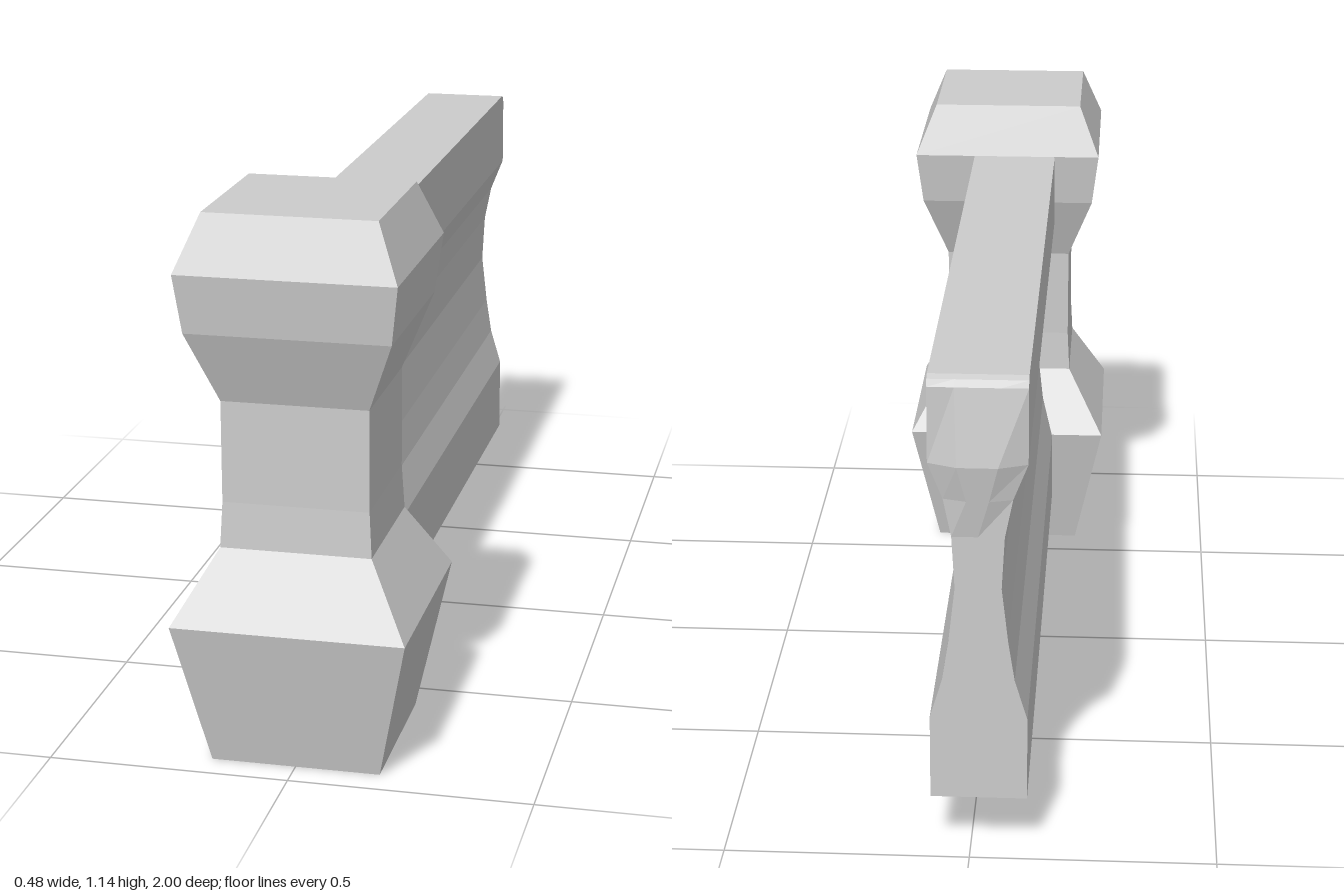
import * as THREE from 'three';

const material = new THREE.MeshStandardMaterial({ color: 0xcccccc, flatShading: true });

// Closed solid from stacked rings of [x, z] points, counter-clockwise from above
function loft(name, rings) {
  const pos = [];
  const n = rings[0].points.length;
  const put = (r, i) => {
    const [x, z] = rings[r].points[i % n];
    pos.push(x, rings[r].y, z);
  };
  const tri = (...corners) => corners.forEach(([r, i]) => put(r, i));
  const last = rings.length - 1;
  for (let r = 0; r < last; r++) {
    for (let i = 0; i < n; i++) {
      tri([r, i], [r, i + 1], [r + 1, i + 1]);
      tri([r, i], [r + 1, i + 1], [r + 1, i]);
    }
  }
  for (let i = 1; i < n - 1; i++) {
    tri([last, 0], [last, i], [last, i + 1]);
    tri([0, 0], [0, i + 1], [0, i]);
  }
  const geometry = new THREE.BufferGeometry();
  geometry.setAttribute('position', new THREE.Float32BufferAttribute(pos, 3));
  geometry.computeVertexNormals();
  const mesh = new THREE.Mesh(geometry, material);
  mesh.name = name;
  return mesh;
}

// Square post: [height, half width]
function createPost() {
  const profile = [
    [0, 0.175], [0.308, 0.24], [0.455, 0.155], [0.55, 0.15],
    [0.76, 0.15], [0.91, 0.207], [1.03, 0.222], [1.145, 0.175],
  ];
  const z = 0.76;
  return loft('post', profile.map(([y, h]) => ({
    y, points: [[h, z + h], [h, z - h], [-h, z - h], [-h, z + h]],
  })));
}

// Waisted rail: [height, half width, end z, bulge half width, bulge z]
function createRail() {
  const profile = [
    [0.125, 0.0975, -0.975, 0, -0.975],
    [0.305, 0.0975, -0.975, 0, -0.975],
    [0.39, 0.072, -0.975, 0, -0.975],
    [0.475, 0.059, -0.975, 0, -0.975],
    [0.59, 0.046, -0.975, 0, -0.975],
    [0.70, 0.052, -0.975, 0, -0.975],
    [0.78, 0.068, -0.975, 0.022, -0.988],
    [0.855, 0.0975, -0.977, 0.04, -1],
    [1.01, 0.0975, -0.975, 0.045, -0.976],
    [1.024, 0.0975, -0.969, 0.045, -0.969],
    [1.03, 0.0975, -0.955, 0.045, -0.955],
  ];
  const front = 0.7; // buried inside the post
  const rail = loft('rail', profile.map(([y, h, end, b, tip]) => ({
    y, points: [[h, front], [h, end], [b, tip], [-b, tip], [-h, end], [-h, front]],
  })));
  rail.position.x = -0.018;
  return rail;
}

export function createModel() {
  const group = new THREE.Group();
  group.name = 'railingSection';
  group.add(createPost(), createRail());
  return group;
}
